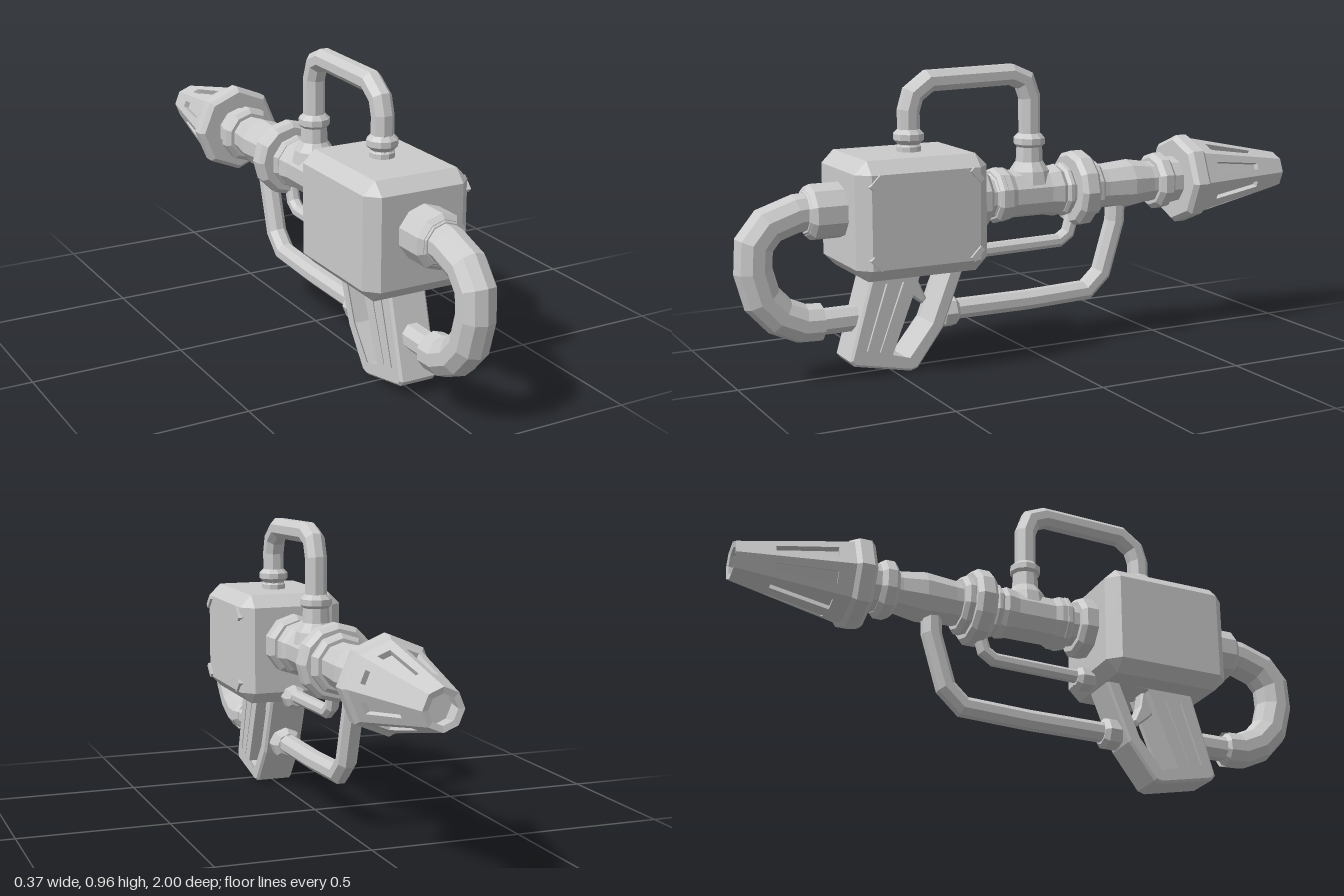
import * as THREE from 'three';
import { ConvexGeometry } from 'three/addons/geometries/ConvexGeometry.js';

const AXIS = 0.535; // height of the barrel axis
const mat = new THREE.MeshStandardMaterial({ color: 0xcccccc, flatShading: true, side: THREE.DoubleSide });

export function createModel() {
  const model = new THREE.Group();
  model.name = 'nozzleTool';

  const add = (name, geo, x = 0, y = 0, z = 0) => {
    const mesh = new THREE.Mesh(geo, mat);
    mesh.name = name;
    mesh.position.set(x, y, z);
    model.add(mesh);
    return mesh;
  };

  // Turned part; profile is [position along axis, radius], axis is 'y' or 'z'
  const turned = (name, profile, axis, y, z, sides = 10) => {
    const geo = new THREE.LatheGeometry(profile.map(([a, r]) => new THREE.Vector2(r, a)), sides);
    if (axis === 'z') geo.rotateX(Math.PI / 2);
    return add(name, geo, 0, y, z);
  };

  // Chamfered collar from a to b
  const collar = (name, a, b, r, axis = 'z', y = AXIS, z = 0, sides = 10) => {
    const c = Math.min(0.015, (b - a) * 0.3);
    return turned(name, [[a, 0], [a, r - c], [a + c, r], [b - c, r], [b, r - c], [b, 0]], axis, y, z, sides);
  };

  // Mitred pipe along [z, y] points in the plane x = 0
  const pipe = (name, path, r, sides = 8) => {
    const pts = path.map(([z, y]) => new THREE.Vector2(z, y));
    const pos = [], idx = [];
    pts.forEach((p, i) => {
      const d0 = p.clone().sub(pts[Math.max(i - 1, 0)]).normalize();
      const d1 = pts[Math.min(i + 1, pts.length - 1)].clone().sub(p).normalize();
      const t = d0.clone().add(d1).normalize();
      const miter = 1 / Math.max(t.dot(d1), t.dot(d0));
      for (let j = 0; j < sides; j++) {
        const a = ((j + 0.5) / sides) * Math.PI * 2;
        const s = Math.sin(a) * r * miter;
        pos.push(Math.cos(a) * r, p.y + s * t.x, p.x - s * t.y);
        if (i === pts.length - 1) continue;
        const k = (j + 1) % sides, n = i * sides;
        idx.push(n + j, n + k, n + sides + k, n + j, n + sides + k, n + sides + j);
      }
    });
    const geo = new THREE.BufferGeometry();
    geo.setAttribute('position', new THREE.Float32BufferAttribute(pos, 3));
    geo.setIndex(idx);
    geo.computeVertexNormals();
    return add(name, geo);
  };

  // Side plate from [z, y] outlines, centred on x = 0
  const vecs = (pts) => pts.map(([z, y]) => new THREE.Vector2(z, y));
  const plate = (name, outline, holes, width, bevel) => {
    const shape = new THREE.Shape(vecs(outline));
    holes.forEach((h) => shape.holes.push(new THREE.Path(vecs(h))));
    const depth = width - 2 * bevel;
    const geo = new THREE.ExtrudeGeometry(shape, {
      depth, bevelEnabled: bevel > 0, bevelSize: bevel, bevelThickness: bevel, bevelOffset: -bevel, bevelSegments: 1,
    });
    geo.translate(0, 0, -depth / 2).rotateY(-Math.PI / 2);
    return add(name, geo);
  };

  // Chamfered body box
  const half = [0.18, 0.187, 0.222], c = 0.04, corners = [];
  for (let face = 0; face < 3; face++)
    for (const sx of [-1, 1]) for (const sy of [-1, 1]) for (const sz of [-1, 1]) {
      const v = [sx, sy, sz].map((s, i) => s * (half[i] - (i === face ? 0 : c)));
      corners.push(new THREE.Vector3(...v));
    }
  add('body', new ConvexGeometry(corners), -0.003, 0.515, 0.437);

  // Corner clips on the left face
  for (const sy of [-1, 1]) for (const sz of [-1, 1]) {
    const clip = add('cornerClip', new THREE.BoxGeometry(0.025, 0.018, 0.05), 0.173, 0.515 + sy * 0.125, 0.437 + sz * 0.168);
    clip.rotation.x = -sy * sz * -0.8;
  }

  // Front hose with its couplings
  collar('hoseCollar', 0.64, 0.77, 0.088);
  collar('hoseCollarLip', 0.735, 0.775, 0.078);
  pipe('hose', [[0.72, 0.54], [0.8, 0.535], [0.89, 0.505], [0.935, 0.45], [0.94, 0.37], [0.915, 0.28],
    [0.86, 0.22], [0.79, 0.188], [0.73, 0.185]], 0.061, 10);
  collar('hoseEndCoupling', 0.725, 0.8, 0.057, 'z', 0.187);
  pipe('hoseEndPipe', [[0.75, 0.185], [0.56, 0.185]], 0.042);

  // Barrel with its collars
  turned('rearBarrel', [[-0.2, 0.075], [-0.12, 0.075], [-0.1, 0.088], [-0.06, 0.08], [0.07, 0.08], [0.09, 0.09], [0.12, 0.09], [0.14, 0.07], [0.2, 0.07]], 'z', AXIS, 0);
  collar('bodyCollar', 0.16, 0.23, 0.103);
  collar('barrelLip', 0.1, 0.135, 0.092);
  collar('barrelStep', -0.145, -0.115, 0.09);
  collar('mainCollar', -0.222, -0.152, 0.127, 'z', AXIS, 0, 12);
  collar('mainCollarStep', -0.255, -0.21, 0.1);
  turned('frontBarrel', [[-0.56, 0.07], [-0.46, 0.07], [-0.38, 0.083], [-0.28, 0.075], [-0.2, 0.075]], 'z', AXIS, 0);
  collar('nozzleCoupling', -0.535, -0.475, 0.097);
  collar('nozzleNeck', -0.59, -0.52, 0.08);

  // Nozzle: ring, inner core and eight slotted panels
  collar('nozzleRing', -0.64, -0.57, 0.152, 'z', AXIS, 0, 8);
  turned('nozzleCore', [[-0.93, 0], [-0.93, 0.056], [-0.62, 0.115]], 'z', AXIS, 0, 8);
  const N = 8, R1 = 0.14, R2 = 0.064, z1 = -0.63, z2 = -1;
  const cs = Math.cos(Math.PI / N), sn = Math.sin(Math.PI / N);
  const rise = (R2 - R1) * cs, len = Math.hypot(rise, z2 - z1);
  const panel = new THREE.Shape(vecs([[-R1 * sn, 0], [R1 * sn, 0], [R2 * sn, len], [-R2 * sn, len]]));
  panel.holes.push(new THREE.Path(vecs([[-0.021, 0.06], [-0.011, 0.255], [0.011, 0.255], [0.021, 0.06]])));
  const panelGeo = new THREE.ExtrudeGeometry(panel, { depth: 0.018, bevelEnabled: false });
  panelGeo.translate(0, 0, -0.018);
  const u = new THREE.Vector3(0, rise / len, (z2 - z1) / len);
  const n = new THREE.Vector3(0, -u.z, u.y);
  panelGeo.applyMatrix4(new THREE.Matrix4().makeBasis(new THREE.Vector3(1, 0, 0), u, n).setPosition(0, R1 * cs, z1));
  for (let i = 0; i < N; i++) add('nozzlePanel', panelGeo, 0, AXIS, 0).rotation.z = ((i + 0.5) / N) * Math.PI * 2;

  // Top carrying loop
  pipe('topHandle', [[0.42, 0.7], [0.42, 0.83], [0.405, 0.88], [0.35, 0.92], [0.06, 0.927], [0.01, 0.905], [-0.01, 0.85], [-0.01, 0.6]], 0.036);
  collar('handleFootFront', 0.725, 0.772, 0.05, 'y', 0, 0.42);
  collar('handleBaseFront', 0.69, 0.73, 0.04, 'y', 0, 0.42);
  collar('handleFootRear', 0.682, 0.732, 0.052, 'y', 0, -0.01);
  turned('handleSocket', [[0.56, 0.075], [0.61, 0.065], [0.64, 0.045], [0.7, 0.042]], 'y', 0, -0.01);

  // Lower pipes under the barrel
  pipe('lowerPipe', [[0.34, 0.172], [0, 0.172], [-0.225, 0.18], [-0.285, 0.235], [-0.338, 0.41], [-0.342, 0.53]], 0.034);
  collar('lowerPipeCoupling', 0.262, 0.33, 0.054, 'z', 0.17, 0, 8);
  pipe('middlePipe', [[0.23, 0.355], [-0.12, 0.362], [-0.155, 0.385], [-0.175, 0.45], [-0.18, 0.53]], 0.023);
  collar('middlePipeCoupling', 0.172, 0.24, 0.041, 'z', 0.35, 0, 8);

  // Grip with guard opening, slots and a recessed core
  plate('grip', [[0.572, 0.35], [0.655, 0.06], [0.64, 0.042], [0.45, 0.003], [0.425, 0.01], [0.335, 0.13], [0.25, 0.35]],
    [
      [[0.415, 0.335], [0.523, 0.06], [0.45, 0.038], [0.365, 0.145], [0.292, 0.335]],
      [[0.54, 0.305], [0.612, 0.083], [0.592, 0.078], [0.518, 0.305]],
      [[0.482, 0.305], [0.567, 0.075], [0.549, 0.07], [0.461, 0.305]],
    ], 0.13, 0.008);
  plate('gripCore', [[0.56, 0.34], [0.63, 0.06], [0.535, 0.045], [0.43, 0.34]], [], 0.08, 0);
  plate('trigger', [[0.46, 0.34], [0.41, 0.34], [0.4, 0.28], [0.375, 0.225], [0.39, 0.208], [0.43, 0.24], [0.47, 0.28]], [], 0.05, 0.006);

  return model;
}
